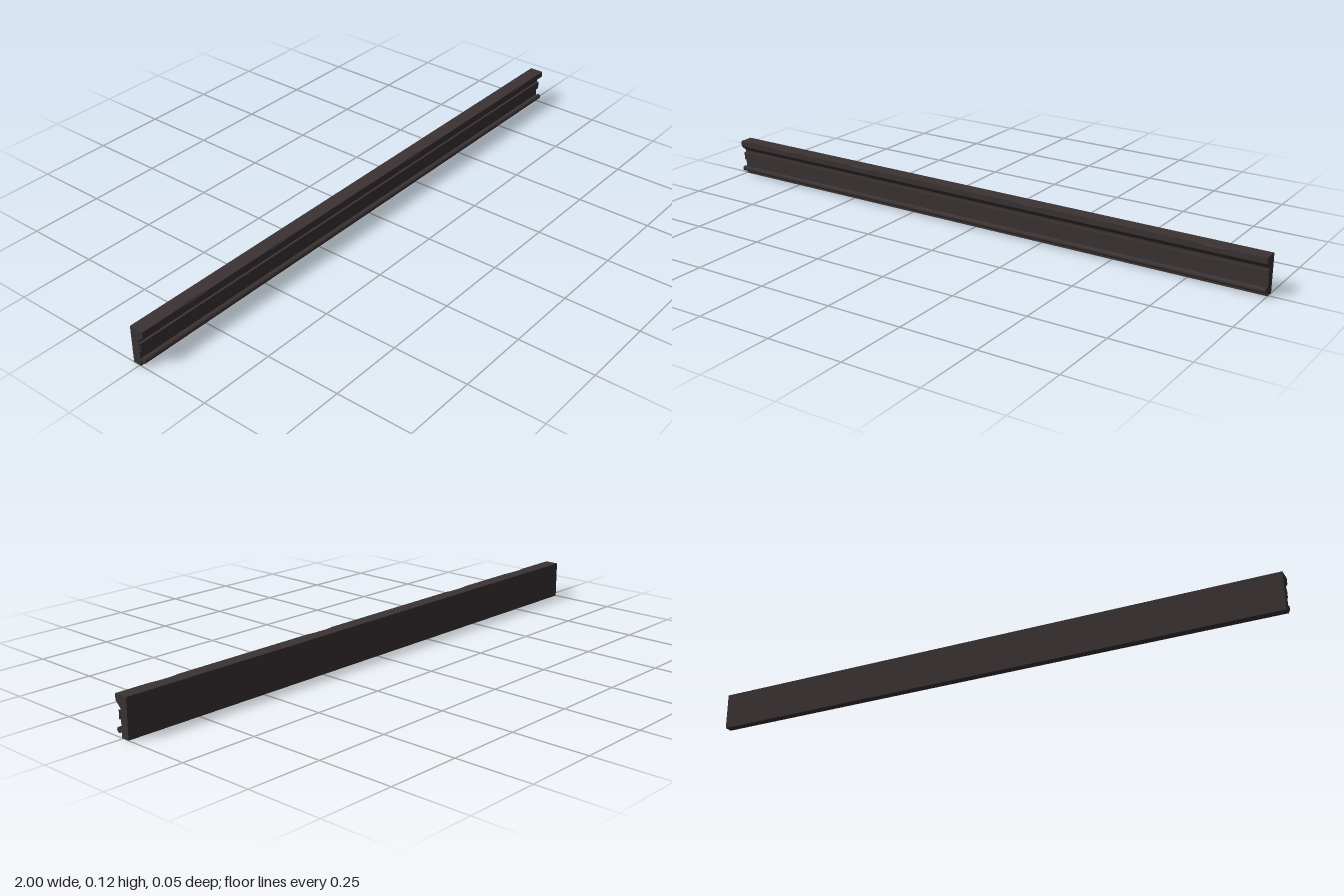
import * as THREE from 'three';

const HALF = 1;
const darkWood = new THREE.MeshStandardMaterial({ color: 0x3a3233 });
darkWood.name = 'dark wood';

// Board cross-section as [z, y]; chip cuts back the upper front edge
const boardSection = (chip) => [
  [-0.023, 0], [0.005, 0], [0.005, 0.087], [0.025, 0.105],
  [0.025, 0.125 - chip], [0.025 - chip, 0.125], [-0.023, 0.125],
];

// Board lofted along x through stations of [x, chip depth]
function boardGeometry(stations) {
  const rings = stations.map(([x, chip]) => boardSection(chip).map(([z, y]) => [x, y, z]));
  const n = rings[0].length;
  const pos = [];
  const tri = (a, b, c) => pos.push(...a, ...b, ...c);
  for (let i = 0; i < rings.length - 1; i++) {
    for (let j = 0; j < n; j++) {
      const k = (j + 1) % n;
      const [r, s] = [rings[i], rings[i + 1]];
      tri(r[j], s[j], s[k]);
      tri(r[j], s[k], r[k]);
    }
  }
  // End caps fan out from the inner corner under the ledge
  const first = rings[0], last = rings[rings.length - 1];
  for (let j = 1; j < n - 1; j++) {
    const a = (2 + j) % n, b = (3 + j) % n;
    tri(first[2], first[a], first[b]);
    tri(last[2], last[b], last[a]);
  }
  const geo = new THREE.BufferGeometry();
  geo.setAttribute('position', new THREE.Float32BufferAttribute(pos, 3));
  geo.computeVertexNormals();
  return geo;
}

export function createModel() {
  const group = new THREE.Group();
  const add = (name, geo, x = 0, y = 0, z = 0) => {
    const mesh = new THREE.Mesh(geo, darkWood);
    mesh.name = name;
    mesh.position.set(x, y, z);
    group.add(mesh);
    return mesh;
  };

  // Board with an overhanging ledge, worn in a few places
  const stations = [[-HALF, 0.0005]];
  for (const x of [-0.8, -0.46, 0.21, 0.83]) {
    stations.push([x - 0.05, 0.0005], [x - 0.02, 0.005], [x + 0.03, 0.004], [x + 0.06, 0.0005]);
  }
  stations.push([HALF, 0.0005]);
  add('board', boardGeometry(stations));

  // Hollow middle rail: face strip, three ribs
  const length = HALF * 2;
  add('railFace', new THREE.BoxGeometry(length, 0.027, 0.002), 0, 0.0665, 0.012);
  for (const y of [0.0545, 0.0665, 0.0785]) {
    add('railRib', new THREE.BoxGeometry(length, 0.003, 0.007), 0, y, 0.008);
  }

  // Round bead near the bottom and the neck joining it to the board
  const bead = new THREE.CylinderGeometry(0.0088, 0.0088, length, 12);
  bead.rotateZ(Math.PI / 2);
  add('bead', bead, 0, 0.021, 0.0162);
  add('beadNeck', new THREE.BoxGeometry(length, 0.008, 0.006), 0, 0.021, 0.007);

  return group;
}
